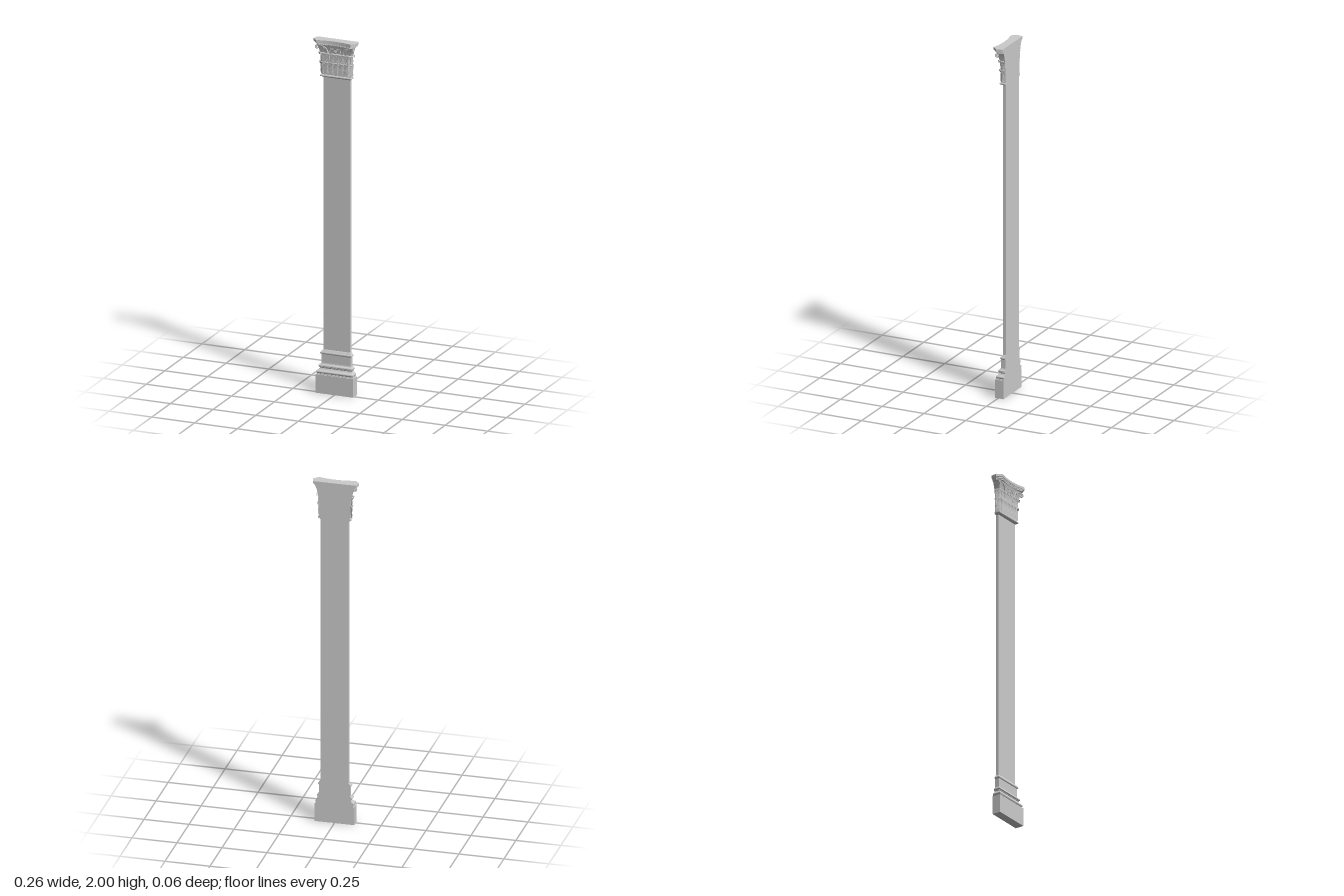
import * as THREE from 'three';
import { toCreasedNormals } from 'three/addons/utils/BufferGeometryUtils.js';

const BACK = -0.032, HALF = 0.078, FACE = -0.014, TOP = 2;
const stone = new THREE.MeshStandardMaterial({ color: 0xcccccc });
const thin = new THREE.MeshStandardMaterial({ color: 0xcccccc, side: THREE.DoubleSide });

function add(parent, name, geometry, material = stone) {
  const mesh = new THREE.Mesh(geometry, material);
  mesh.name = name;
  parent.add(mesh);
  return mesh;
}

// Sweeps a moulding profile of [projection, height] round the front and both sides.
function moulding(profile) {
  const pos = [], index = [], n = profile.length;
  for (const [d, y] of profile) {
    const x = HALF + d, z = FACE + d;
    pos.push(-x, y, BACK, -x, y, z, x, y, z, x, y, BACK);
  }
  for (let i = 0; i < n - 1; i++) {
    for (let j = 0; j < 4; j++) {
      const a = i * 4 + j, b = i * 4 + (j + 1) % 4;
      index.push(a, b, b + 4, a, b + 4, a + 4);
    }
  }
  const t = (n - 1) * 4;
  index.push(t, t + 1, t + 2, t, t + 2, t + 3, 0, 2, 1, 0, 3, 2);
  const g = new THREE.BufferGeometry();
  g.setAttribute('position', new THREE.Float32BufferAttribute(pos, 3));
  g.setIndex(index);
  return toCreasedNormals(g, 0.7);
}

// Half-round bead profile between two heights.
function bead(d, bulge, y0, y1) {
  return Array.from({ length: 7 }, (_, i) => {
    const a = Math.PI * i / 6;
    return [d + bulge * Math.sin(a), (y0 + y1) / 2 - (y1 - y0) / 2 * Math.cos(a)];
  });
}

// Lobed, ribbed acanthus leaf whose tip curls outwards.
function leafGeometry(w, h, curl) {
  const spine = new THREE.CatmullRomCurve3([
    [0.001, 0], [0.002, 0.4], [0.003, 0.72], [0.003 + curl * 0.5, 0.97],
    [0.003 + curl, 0.95], [0.002 + curl, 0.83],
  ].map(([o, y]) => new THREE.Vector3(0, y * h, o)));
  const g = new THREE.PlaneGeometry(2, 1, 12, 24);
  const p = g.attributes.position;
  for (let i = 0; i < p.count; i++) {
    const u = p.getX(i), v = p.getY(i) + 0.5;
    const c = spine.getPoint(v);
    const lobe = 0.72 + 0.28 * Math.abs(Math.sin(v * Math.PI * 4.5));
    const taper = v < 0.7 ? 1 : Math.sqrt(Math.max(0.06, 1 - ((v - 0.7) / 0.31) ** 2));
    const rib = 0.0016 * Math.cos(u * Math.PI * 4) * (1 - 0.4 * v) - 0.002 * u * u;
    p.setXYZ(i, u * w * lobe * taper, c.y - Math.abs(u) * 0.003, c.z + rib);
  }
  g.computeVertexNormals();
  return g;
}

// Spiral scroll tube, growing from a stem on its inner side.
function scrollGeometry(radius, tube, stem) {
  const pts = stem.map(([x, y]) => new THREE.Vector3(x, y, 0));
  for (let i = 0; i <= 20; i++) {
    const a = Math.PI * 0.75 - i / 20 * Math.PI * 3.5, r = radius * (1 - 0.8 * i / 20);
    pts.push(new THREE.Vector3(r * Math.cos(a), r * Math.sin(a), 0));
  }
  return new THREE.TubeGeometry(new THREE.CatmullRomCurve3(pts), 60, tube, 6);
}

// Abacus slab with cut corners and a hollow front.
function slab(inset, y, height) {
  const k = 1 - inset / 0.128, f = z => -(z - inset * 0.6);
  const s = new THREE.Shape();
  s.moveTo(-0.12 * k, -BACK);
  s.lineTo(-0.128 * k, f(0.003));
  s.lineTo(-0.102 * k, f(0.031));
  s.quadraticCurveTo(0, f(0.003), 0.102 * k, f(0.031));
  s.lineTo(0.128 * k, f(0.003));
  s.lineTo(0.12 * k, -BACK);
  const g = new THREE.ExtrudeGeometry(s, { depth: height, bevelEnabled: false, curveSegments: 20 });
  return g.rotateX(-Math.PI / 2).translate(0, y, 0);
}

function buildCapital() {
  const capital = new THREE.Group();
  capital.name = 'capital';
  add(capital, 'neckMoulding', moulding([
    [0, 1.782], [0.006, 1.785], ...bead(0.007, 0.007, 1.787, 1.799), [0.008, 1.803],
  ]));
  add(capital, 'bell', moulding([
    [0.008, 1.8], [0.008, 1.86], [0.010, 1.9], [0.014, 1.93], [0.021, 1.955], [0.027, 1.975],
  ]));
  add(capital, 'abacusLower', slab(0.012, 1.972, 0.008));
  add(capital, 'abacusMiddle', slab(0.006, 1.98, 0.006));
  add(capital, 'abacusUpper', slab(0, 1.986, TOP - 1.986));

  // Two tiers of leaves on the front, the corners and the returns
  const tiers = [
    { name: 'lowerLeaf', y: 1.803, d: 0.008, g: leafGeometry(0.0155, 0.074, 0.008), xs: [-0.058, -0.029, 0, 0.029, 0.058] },
    { name: 'upperLeaf', y: 1.842, d: 0.0085, g: leafGeometry(0.0155, 0.088, 0.012), xs: [-0.0725, -0.0435, -0.0145, 0.0145, 0.0435, 0.0725] },
  ];
  for (const { name, y, d, g, xs } of tiers) {
    for (const x of xs) add(capital, name, g, thin).position.set(x, y, FACE + d);
    for (const s of [-1, 1]) {
      const corner = add(capital, name + 'Corner', g, thin);
      corner.position.set(s * (HALF + d - 0.002), y, FACE + d - 0.002);
      corner.rotation.y = s * Math.PI / 4;
      const side = add(capital, name + 'Side', g, thin);
      side.position.set(s * (HALF + d), y, -0.022);
      side.rotation.y = s * Math.PI / 2;
      side.scale.x = 0.55;
    }
  }

  // Corner volutes, inner scrolls and their stalks
  const volute = scrollGeometry(0.012, 0.0032, [[-0.024, -0.045], [-0.02, -0.015]]);
  const inner = scrollGeometry(0.009, 0.0026, [[-0.018, -0.04], [-0.014, -0.014]]);
  for (const s of [-1, 1]) {
    const corner = add(capital, 'cornerVolute', volute);
    corner.position.set(s * 0.104, 1.957, 0.008);
    corner.rotation.y = s > 0 ? -Math.PI / 4 : -Math.PI * 0.75;
    for (const [x, turn] of [[0.016, Math.PI], [0.062, 0]]) {
      const scroll = add(capital, 'innerScroll', inner);
      scroll.position.set(s * x, 1.957, 0.006);
      scroll.rotation.y = s > 0 ? turn : Math.PI - turn;
    }
    const stalk = new THREE.CatmullRomCurve3([
      [0.038, 1.89, 0.0], [0.043, 1.93, 0.003], [0.06, 1.958, 0.008], [0.092, 1.968, 0.011],
    ].map(([x, y, z]) => new THREE.Vector3(s * x, y, z)));
    add(capital, 'stalk', new THREE.TubeGeometry(stalk, 20, 0.0035, 6));
  }

  // Small carved eggs beneath the abacus
  const egg = new THREE.SphereGeometry(0.005, 8, 6).scale(0.9, 1.2, 0.8);
  for (let i = -8; i <= 8; i++) {
    const x = i * 0.011;
    add(capital, 'egg', egg).position.set(x, 1.975, 0.0095 + 0.012 * (x / 0.09) ** 2);
  }
  // Central flower
  const petal = new THREE.SphereGeometry(0.005, 8, 6).scale(1, 1, 0.7);
  for (let i = 0; i < 6; i++) {
    const a = i * Math.PI / 3;
    add(capital, 'flowerPetal', petal).position.set(0.006 * Math.cos(a), 1.938 + 0.006 * Math.sin(a), 0.004);
  }
  add(capital, 'flowerCentre', petal).position.set(0, 1.938, 0.007);
  return capital;
}

export function createModel() {
  const pilaster = new THREE.Group();
  pilaster.name = 'pilaster';
  add(pilaster, 'plinth', moulding([[0.032, 0], [0.032, 0.105]]));
  add(pilaster, 'baseMoulding', moulding([
    [0.026, 0.105], [0.026, 0.109], ...bead(0.023, 0.006, 0.11, 0.127),
    [0.02, 0.129], [0.015, 0.133], [0.0135, 0.139], [0.016, 0.144],
    ...bead(0.015, 0.005, 0.146, 0.159), [0.011, 0.161], [0.009, 0.167],
  ]));
  add(pilaster, 'pedestalBlock', moulding([[0.008, 0.16], [0.008, 0.218]]));
  add(pilaster, 'pedestalCap', moulding([
    [0.008, 0.216], ...bead(0.009, 0.004, 0.218, 0.229), [0.008, 0.231], [0.006, 0.236], [0.001, 0.241],
  ]));
  add(pilaster, 'shaft', moulding([[0, 0.23], [0, 1.79]]));
  pilaster.add(buildCapital());
  return pilaster;
}
